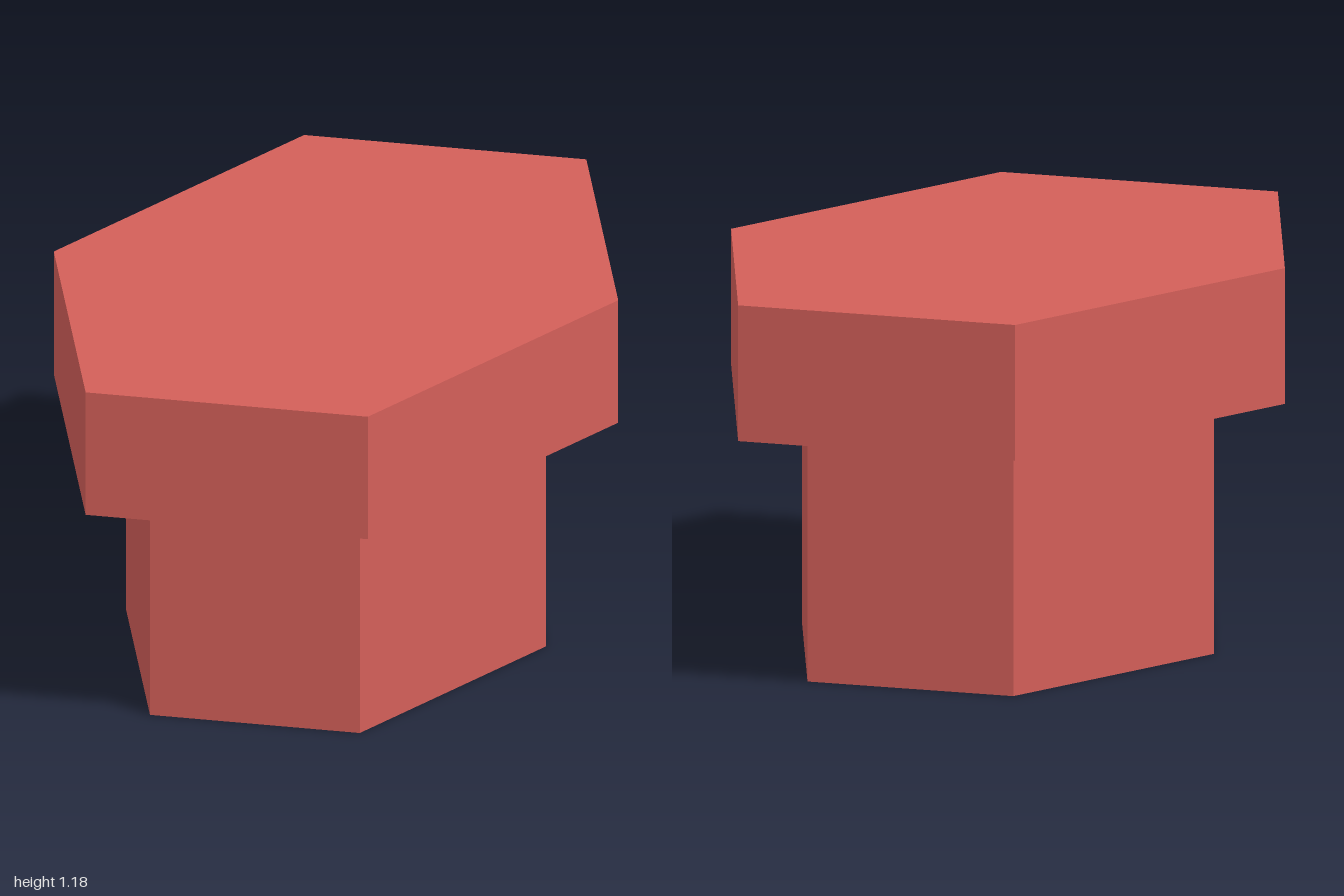
import * as THREE from 'three';

// Corners of a wide hexagon with points on the x axis
function hexagon(rx, rz) {
  return [[1, 0], [0.5, 1], [-0.5, 1], [-1, 0], [-0.5, -1], [0.5, -1]]
    .map(([x, z]) => new THREE.Vector2(x * rx, z * rz));
}

// Upright hexagonal prism, optionally with a hexagonal bore
function prism(name, outer, inner, y, height, material) {
  const shape = new THREE.Shape(outer);
  if (inner) shape.holes.push(new THREE.Path(inner));
  const geometry = new THREE.ExtrudeGeometry(shape, { depth: height, bevelEnabled: false });
  geometry.rotateX(-Math.PI / 2);
  const mesh = new THREE.Mesh(geometry, material);
  mesh.name = name;
  mesh.position.y = y;
  return mesh;
}

export function createModel() {
  const red = new THREE.MeshStandardMaterial({ color: 0xd35f59 });
  red.name = 'softRed';

  const group = new THREE.Group();
  group.name = 'hexagonalPlug';
  // Hollow stem, open at the bottom
  group.add(prism('stem', hexagon(0.743, 0.496), hexagon(0.515, 0.344), 0, 0.77, red));
  // Solid cap, closing the bore
  group.add(prism('cap', hexagon(1, 0.667), null, 0.77, 0.41, red));
  return group;
}
